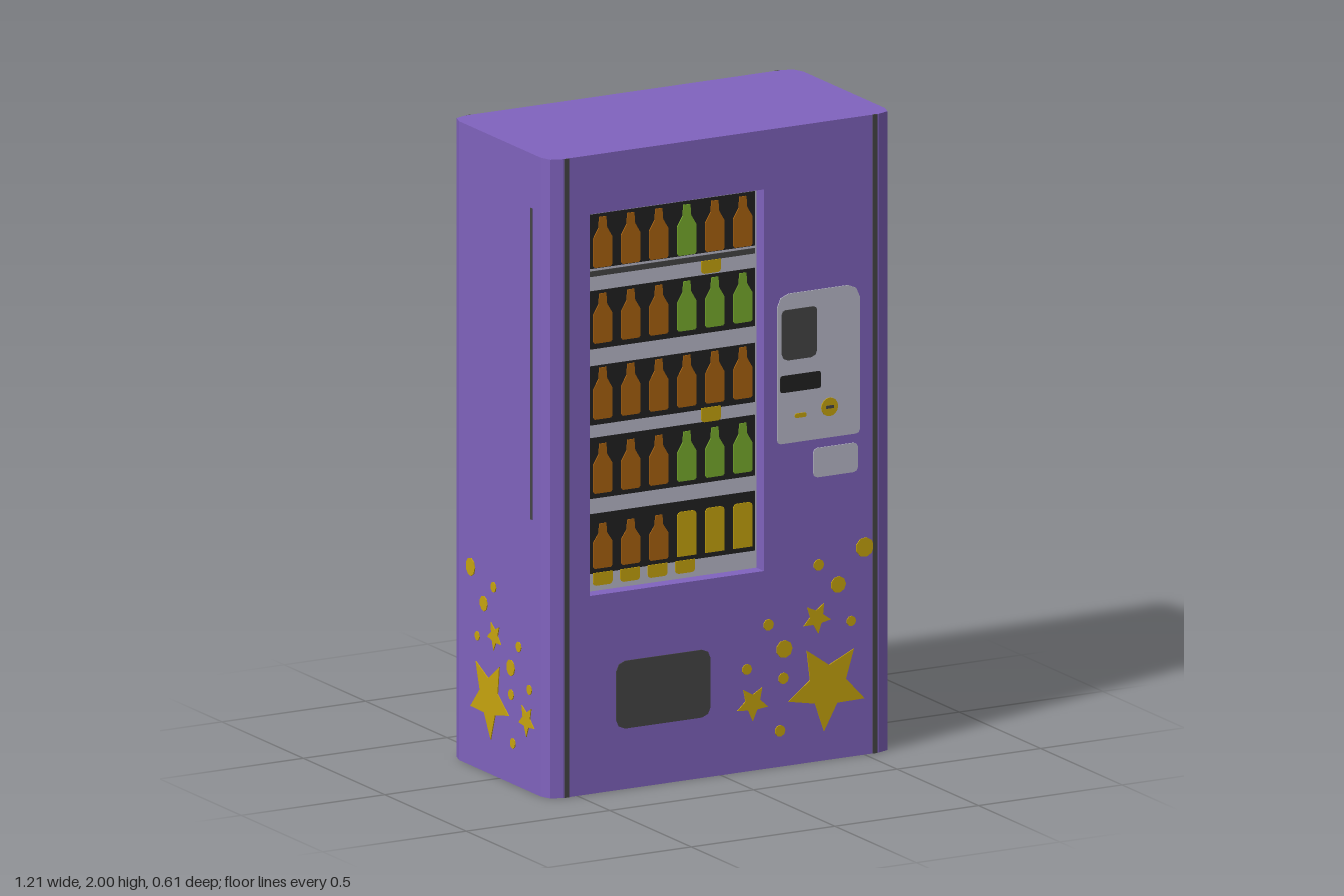
import * as THREE from 'three';

const mat = (name, color) => {
  const m = new THREE.MeshStandardMaterial({ color });
  m.name = name;
  return m;
};

export function createModel() {
  const purple = mat('purple', 0x8063be);
  const darkGrey = mat('darkGrey', 0x464646);
  const black = mat('black', 0x212121);
  const silver = mat('silver', 0xbcbccc);
  const yellow = mat('yellow', 0xc8a50e);
  const orange = mat('orange', 0xab6310);
  const green = mat('green', 0x7aae2e);

  const root = new THREE.Group();
  root.name = 'vendingMachine';

  const add = (parent, name, geometry, material) => {
    const mesh = new THREE.Mesh(geometry, material);
    mesh.name = name;
    parent.add(mesh);
    return mesh;
  };
  const polygon = (pts) => new THREE.Shape(pts.map(([x, y]) => new THREE.Vector2(x, y)));
  // Thin flat plate cut from a polygon, lying at depth z
  const plate = (parent, name, pts, z, material, depth = 0.003) => {
    const g = new THREE.ExtrudeGeometry(polygon(pts), { depth, bevelEnabled: false });
    return add(parent, name, g.translate(0, 0, z), material);
  };
  // Rectangle outline with cut corners: top corners by ct, bottom corners by cb
  const rect = (x0, x1, y0, y1, ct = 0, cb = ct) => {
    const corner = (x, y, sx, sy, c, flip) => {
      if (!c) return [[x, y]];
      const p = [[x + sx * c, y], [x + sx * c * 0.3, y + sy * c * 0.3], [x, y + sy * c]];
      return flip ? p.reverse() : p;
    };
    return [
      ...corner(x0, y0, 1, 1, cb, true), ...corner(x1, y0, -1, 1, cb, false),
      ...corner(x1, y1, -1, -1, ct, true), ...corner(x0, y1, 1, -1, ct, false),
    ];
  };
  const ring = (cx, cy, n, radius) => Array.from({ length: n }, (_, i) => {
    const a = (i / n) * Math.PI * 2;
    return [cx + radius(i) * Math.cos(a), cy + radius(i) * Math.sin(a)];
  });

  // Cabinet: three stacked blocks, the middle one notched for the display window
  const X0 = -0.455, X1 = 0.15, Y0 = 0.62, Y1 = 1.815, FRONT = 0.3, BACK = 0.25;
  const block = (name, y0, y1, notch) => {
    const outline = [
      [-0.55, -0.3], [-0.587, -0.287], [-0.6, -0.25], [-0.6, 0.25], [-0.587, 0.287], [-0.55, 0.3],
      ...(notch ? [[X0, FRONT], [X0, BACK], [X1, BACK], [X1, FRONT]] : []),
      [0.55, 0.3], [0.587, 0.287], [0.6, 0.25], [0.6, -0.25], [0.587, -0.287], [0.55, -0.3],
    ].map(([x, z]) => [x, -z]);
    const g = new THREE.ExtrudeGeometry(polygon(outline), { depth: y1 - y0, bevelEnabled: false });
    add(root, name, g.rotateX(-Math.PI / 2).translate(0, y0, 0), purple);
  };
  block('cabinetBase', 0, Y0, false);
  block('cabinetMiddle', Y0, Y1, true);
  block('cabinetTop', Y1, 2, false);

  // Seams: full height on front and back, short slots on the sides
  for (const s of [-1, 1]) {
    for (const z of [FRONT, -FRONT]) {
      add(root, 'seam', new THREE.BoxGeometry(0.016, 2, 0.006).translate(s * 0.536, 1, z), darkGrey);
    }
    add(root, 'sideSlot', new THREE.BoxGeometry(0.004, 0.975, 0.013).translate(s * 0.6, 1.342, 0.196), darkGrey);
  }

  // Display: silver panel, dark shelf bays and flat bottles
  const display = new THREE.Group();
  display.name = 'display';
  root.add(display);
  plate(display, 'displayPanel', rect(X0, X1, Y0, Y1), BACK, silver);
  const bottle = (cx, y, w, h) => [
    [-0.5, 0.04], [-0.42, 0], [0.42, 0], [0.5, 0.04], [0.5, 0.58], [0.22, 0.78],
    [0.18, 1], [-0.18, 1], [-0.22, 0.78], [-0.5, 0.58],
  ].map(([a, b]) => [cx + a * w, y + b * h]);
  const carton = (cx, y, w, h) => rect(cx - w / 2, cx + w / 2, y, y + h, 0.012, 0);
  const paint = { O: orange, G: green, Y: yellow };
  // Each row: bay bottom, bay top, bottle base, bottle top, colours
  const rows = [
    [1.63, 1.8, 1.632, 1.79, 'OOOGOO'],
    [1.378, 1.56, 1.395, 1.55, 'OOOGGG'],
    [1.14, 1.325, 1.157, 1.318, 'OOOOOO'],
    [0.91, 1.1, 0.925, 1.08, 'OOOGGG'],
    [0.675, 0.862, 0.69, 0.83, 'OOOYYY'],
  ];
  for (const [y0, y1, b0, b1, colours] of rows) {
    plate(display, 'shelfBay', rect(X0 + 0.01, X1 - 0.007, y0, y1), BACK + 0.003, black);
    [...colours].forEach((c, i) => {
      const outline = (c === 'Y' ? carton : bottle)(-0.387 + i * 0.0975, b0, 0.067, b1 - b0);
      plate(display, 'bottle', outline, BACK + 0.006, paint[c]);
    });
  }
  plate(display, 'shelfShadow', rect(X0 + 0.01, X1 - 0.007, 1.605, 1.622), BACK + 0.003, darkGrey);
  const tags = [[-0.01, 1.565, 1.605], [-0.01, 1.1, 1.145]];
  for (let i = 0; i < 4; i++) tags.push([-0.387 + i * 0.0955, 0.637, 0.677]);
  for (const [x, y0, y1] of tags) {
    plate(display, 'priceTag', rect(x - 0.034, x + 0.034, y0, y1, 0, 0.01), BACK + 0.006, yellow);
  }

  // Payment panel
  const pay = new THREE.Group();
  pay.name = 'paymentPanel';
  root.add(pay);
  plate(pay, 'panelPlate', rect(0.195, 0.482, 1.01, 1.478, 0.04, 0.012), FRONT, silver);
  plate(pay, 'screen', rect(0.21, 0.332, 1.27, 1.428, 0.012, 0.02), FRONT + 0.003, darkGrey);
  plate(pay, 'noteSlot', rect(0.205, 0.345, 1.17, 1.223, 0.006), FRONT + 0.003, black);
  plate(pay, 'coinDial', ring(0.376, 1.106, 16, () => 0.029), FRONT + 0.003, yellow);
  plate(pay, 'coinSlot', rect(0.363, 0.389, 1.102, 1.111), FRONT + 0.006, darkGrey);
  plate(pay, 'button', rect(0.255, 0.295, 1.086, 1.1, 0.005), FRONT + 0.003, yellow);
  plate(pay, 'coinReturn', rect(0.32, 0.476, 0.89, 0.982, 0.015), FRONT, silver);

  // Collection hatch
  plate(root, 'collectionHatch', rect(-0.365, -0.037, 0.19, 0.402, 0.03), FRONT, darkGrey);

  // Star pattern, mirrored in x where flip is -1: [x, y, radius, turn in degrees]
  const stars = [[0.37, 0.232, 0.14, 49], [0.11, 0.212, 0.056, 54], [0.333, 0.45, 0.05, 60]];
  const dots = [
    [0.5, 0.65, 0.031], [0.34, 0.615, 0.018], [0.408, 0.545, 0.026], [0.165, 0.45, 0.018],
    [0.453, 0.425, 0.016], [0.22, 0.367, 0.028], [0.09, 0.32, 0.017], [0.217, 0.276, 0.018],
    [0.205, 0.113, 0.018],
  ];
  const starPattern = (flip) => {
    const g = new THREE.Group();
    g.name = 'starPattern';
    for (const [x, y, r, turn] of stars) {
      const a = THREE.MathUtils.degToRad(turn), c = Math.cos(a), s = Math.sin(a);
      const pts = ring(0, 0, 10, (i) => (i % 2 ? r * 0.47 : r))
        .map(([u, v]) => [flip * (x + u * c - v * s), y + u * s + v * c]);
      plate(g, 'star', pts, 0, yellow);
    }
    for (const [x, y, r] of dots) plate(g, 'dot', ring(flip * x, y, 9, () => r), 0, yellow);
    root.add(g);
    return g;
  };
  starPattern(1).position.z = FRONT;
  for (const s of [-1, 1]) {
    const g = starPattern(s);
    g.rotation.y = s * Math.PI / 2;
    g.scale.set(0.88, 0.92, 1);
    g.position.set(s * 0.6, 0.024, 0.263);
  }
  return root;
}
